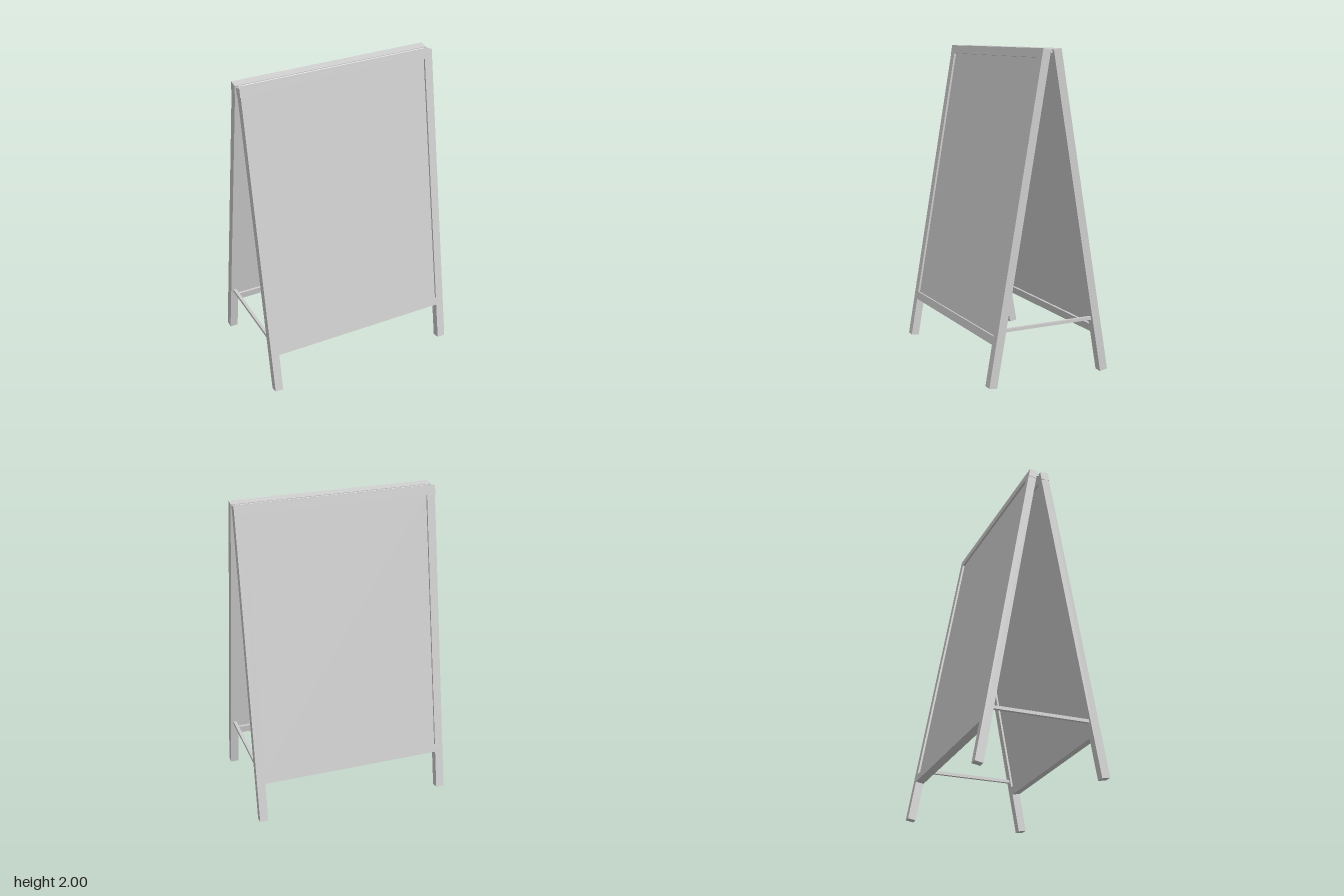
import * as THREE from 'three';

export function createModel() {
  const model = new THREE.Group();
  model.name = 'aFrameSign';
  const grey = new THREE.MeshStandardMaterial({ color: 0xcccccc });
  grey.name = 'light grey';

  const TILT = THREE.MathUtils.degToRad(10);
  const LENGTH = 2.022, BAR = 0.052, RAIL_Y = 1.968;

  // box given by its min and max corners
  function box(name, [x0, x1], [y0, y1], [z0, z1], parent) {
    const mesh = new THREE.Mesh(new THREE.BoxGeometry(x1 - x0, y1 - y0, z1 - z0), grey);
    mesh.position.set((x0 + x1) / 2, (y0 + y1) / 2, (z0 + z1) / 2);
    mesh.name = name;
    parent.add(mesh);
    return mesh;
  }

  // leaning frames; s = 1 for the front, -1 for the back
  for (const s of [1, -1]) {
    const frame = new THREE.Group();
    frame.name = s > 0 ? 'frontFrame' : 'backFrame';
    const depth = (a, b) => (s > 0 ? [a, b] : [-b, -a]);
    const full = depth(0, BAR);
    box('leftLeg', [0.587, 0.64], [0, RAIL_Y], full, frame);
    box('rightLeg', [-0.64, -0.587], [0, RAIL_Y], full, frame);
    box('topRail', [-0.643, 0.64], [RAIL_Y, LENGTH], full, frame);
    box('bottomRail', [-0.587, 0.587], [0.254, 0.306], full, frame);
    box('panel', [-0.587, 0.587], [0.306, RAIL_Y], depth(0.013, 0.039), frame);
    frame.position.z = s * 0.36;
    frame.rotation.x = -s * TILT;
    model.add(frame);
  }

  // hinge rod between the two top rails
  const hinge = new THREE.Mesh(new THREE.BoxGeometry(1.25, 0.016, 0.016), grey);
  hinge.name = 'hingeRod';
  hinge.position.set(0, 1.98, -0.002);
  hinge.rotation.x = Math.PI / 4;
  model.add(hinge);

  // spreader bars joining front and back legs
  for (const s of [1, -1]) {
    const x = s * 0.613;
    box(s > 0 ? 'leftSpreader' : 'rightSpreader', [x - 0.01, x + 0.01], [0.335, 0.355], [-0.303, 0.303], model);
  }
  return model;
}
